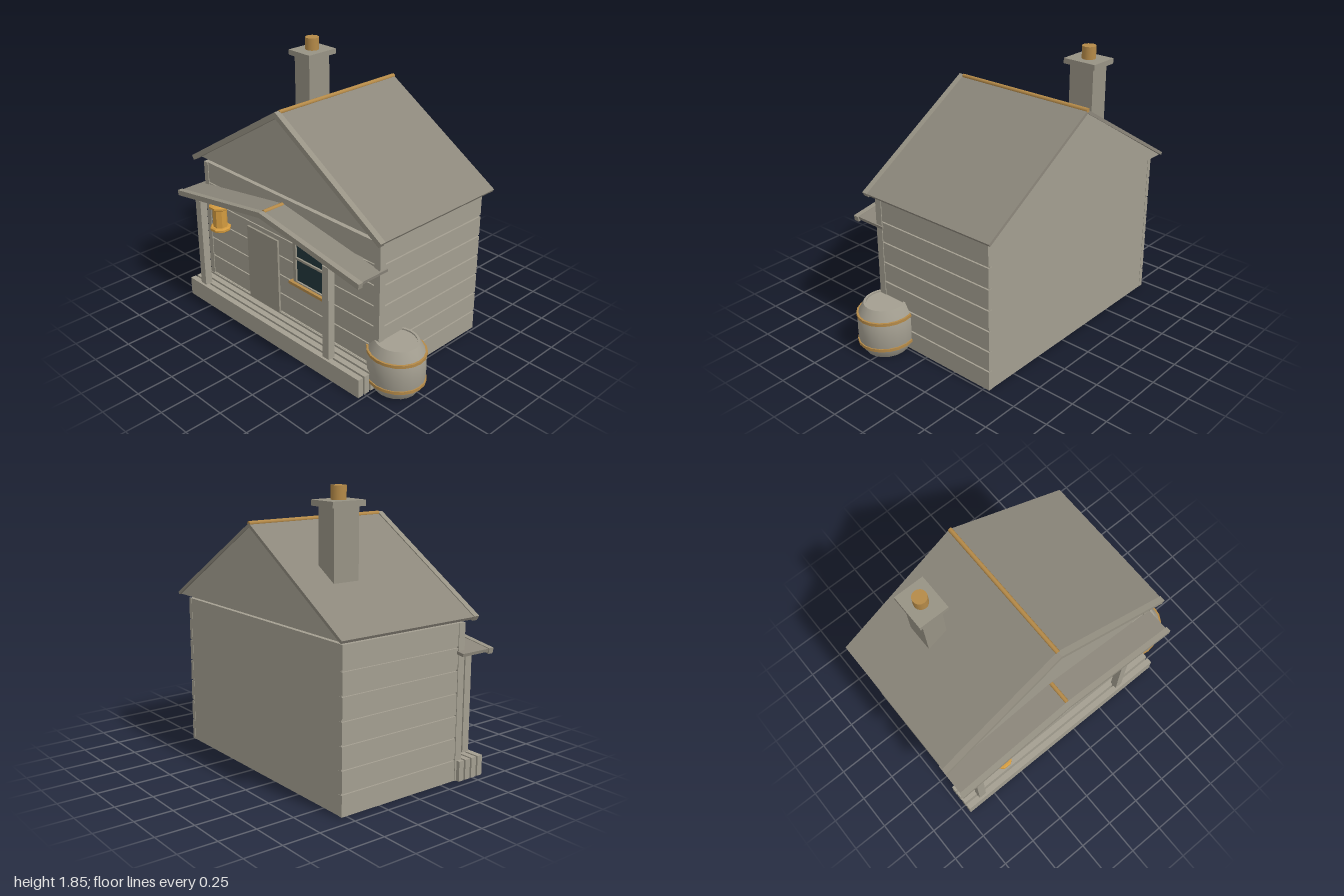
import * as THREE from 'three';
import { toCreasedNormals } from 'three/addons/utils/BufferGeometryUtils.js';

const paint = (color) => new THREE.MeshStandardMaterial({ color });
const timber = paint(0xa39e90);
const roofing = paint(0x8c877b);
const trim = paint(0x979284);
const gold = paint(0xd29a3f);
const brass = paint(0xb58a48);
const glass = paint(0x22363a);

export function createModel() {
  const model = new THREE.Group();

  const add = (name, geometry, material = timber) => {
    const mesh = new THREE.Mesh(geometry, material);
    mesh.name = name;
    model.add(mesh);
    return mesh;
  };
  // Box given by its limits on each axis
  const box = (name, x0, x1, y0, y1, z0, z1, material) => {
    const g = new THREE.BoxGeometry(x1 - x0, y1 - y0, z1 - z0);
    g.translate((x0 + x1) / 2, (y0 + y1) / 2, (z0 + z1) / 2);
    return add(name, g, material);
  };
  // Outline in x and y, extruded from z0 to z1
  const prism = (name, points, z0, z1, material) => {
    const shape = new THREE.Shape(points.map(([x, y]) => new THREE.Vector2(x, y)));
    const g = new THREE.ExtrudeGeometry(shape, { depth: z1 - z0, bevelEnabled: false });
    g.translate(0, 0, z0);
    return add(name, g, material);
  };
  // Pitched strip: a slab on each side of a ridge, with ends cut square
  const pitched = (name, xl, xr, eaveY, apexX, apexY, t, z0, z1, material) => {
    const a = Math.atan2(apexY - eaveY, apexX - xl);
    const dx = t * Math.sin(a), dy = t * Math.cos(a);
    return prism(name, [
      [xl, eaveY], [xl + dx, eaveY - dy], [apexX, apexY - t / Math.cos(a)],
      [xr - dx, eaveY - dy], [xr, eaveY], [apexX, apexY],
    ], z0, z1, material);
  };
  // Turned part from [radius, height] points
  const turned = (name, points, sides, start, crease, material) => {
    const g = new THREE.LatheGeometry(points.map(([r, y]) => new THREE.Vector2(r, y)), sides, start);
    return add(name, toCreasedNormals(g, crease), material);
  };
  const ridge = (name, x, y, z0, z1) => {
    const g = new THREE.CylinderGeometry(0.015, 0.015, z1 - z0, 8);
    g.rotateX(Math.PI / 2);
    g.translate(x, y, (z0 + z1) / 2);
    add(name, toCreasedNormals(g, 1), brass);
  };

  // Walls: a plain core with clapboards on the front and sides
  box('wallCore', -0.925, 0.73, 0.01, 1.02, -0.54, 0.385);
  const rows = 7, pitch = 1.01 / rows;
  for (let i = 0; i < rows; i++) {
    const y0 = 0.01 + i * pitch;
    const y1 = y0 + pitch - (i < rows - 1 ? 0.011 : 0);
    box('leftClapboard', 0.71, 0.742, y0, y1, -0.547, 0.35);
    box('rightClapboard', -0.937, -0.905, y0, y1, -0.547, 0.35);
    box('frontClapboard', -0.9, 0.7, y0, y1, 0.37, 0.395);
  }
  box('backWall', -0.925, 0.73, 0.01, 1.02, -0.545, -0.53);
  box('rightCornerPost', -0.942, -0.9, 0.01, 1.02, 0.35, 0.4);
  box('leftCornerPost', 0.7, 0.747, 0.01, 1.02, 0.35, 0.4);

  // Main roof with solid gable, bargeboards and ridge cap
  const apex = -0.1;
  prism('gable', [[-0.965, 1.05], [0.765, 1.05], [apex, 1.59]], -0.593, 0.405);
  pitched('roof', -0.995, 0.795, 1.06, apex, 1.612, 0.02, -0.6, 0.415, roofing);
  pitched('bargeboards', -1.0, 0.8, 1.063, apex, 1.62, 0.035, 0.415, 0.455, trim);
  ridge('ridgeCap', apex, 1.609, -0.6, 0.42);

  // Chimney
  box('chimneyStack', -0.62, -0.475, 1.2, 1.735, -0.36, -0.175, trim);
  box('chimneyCap', -0.648, -0.443, 1.73, 1.766, -0.392, -0.147, trim);
  const pot = new THREE.CylinderGeometry(0.047, 0.047, 0.1, 16);
  add('chimneyPot', pot, brass).position.set(-0.547, 1.8, -0.27);

  // Porch deck made of separate planks, and the two posts
  for (let i = 0; i < 4; i++) {
    const z1 = 0.565 - i * 0.054;
    box('porchPlank', -0.967, 0.74, 0.01, 0.142, z1 - 0.04, z1);
  }
  for (const x of [-0.835, 0.433]) {
    box('porchPost', x - 0.027, x + 0.027, 0.08, 0.802, 0.495, 0.548);
  }

  // Porch roof
  pitched('porchRoof', -0.99, 0.755, 0.84, -0.115, 0.98, 0.02, 0.34, 0.565, roofing);
  pitched('porchFascia', -0.997, 0.765, 0.843, -0.115, 0.985, 0.037, 0.56, 0.597, trim);
  ridge('porchRidgeCap', -0.115, 0.976, 0.4, 0.56);

  // Door
  box('door', -0.48, -0.17, 0.14, 0.69, 0.38, 0.41, trim);

  // Sash window with frame, middle rail and sill
  box('windowGlass', 0.005, 0.275, 0.465, 0.815, 0.385, 0.402, glass);
  for (const x of [-0.01, 0.265]) box('windowStile', x, x + 0.025, 0.46, 0.82, 0.385, 0.415, trim);
  for (const [y, h] of [[0.46, 0.01], [0.632, 0.015], [0.808, 0.013]]) {
    box('windowRail', -0.01, 0.29, y, y + h, 0.385, 0.415, trim);
  }
  box('windowSill', -0.033, 0.31, 0.443, 0.463, 0.385, 0.437, brass);

  // Hanging lantern, eight-sided
  turned('lantern', [
    [0, 0.648], [0.064, 0.648], [0.072, 0.655], [0.072, 0.67], [0.062, 0.678], [0.05, 0.678],
    [0.05, 0.81], [0.062, 0.81], [0.072, 0.818], [0.072, 0.832], [0.056, 0.84], [0, 0.84],
  ], 8, Math.PI / 8, 0.4, gold).position.set(-0.63, 0, 0.52);

  // Barrel, slightly oval, with a sunken lid and two hoops
  const barrel = new THREE.Group();
  barrel.name = 'rainBarrel';
  barrel.position.set(0.803, 0, 0.295);
  barrel.scale.x = 1.08;
  barrel.add(turned('barrelBody', [
    [0, 0], [0.135, 0], [0.166, 0.05], [0.175, 0.09], [0.178, 0.17], [0.176, 0.265],
    [0.168, 0.285], [0.135, 0.348], [0.12, 0.348], [0.12, 0.338], [0, 0.338],
  ], 20, 0, 0.5));
  for (const y of [0.08, 0.272]) {
    const hoop = turned('barrelHoop', [
      [0.16, -0.01], [0.182, -0.01], [0.182, 0.01], [0.16, 0.01],
    ], 20, 0, 0.5, brass);
    hoop.position.y = y;
    barrel.add(hoop);
  }
  model.add(barrel);

  return model;
}
